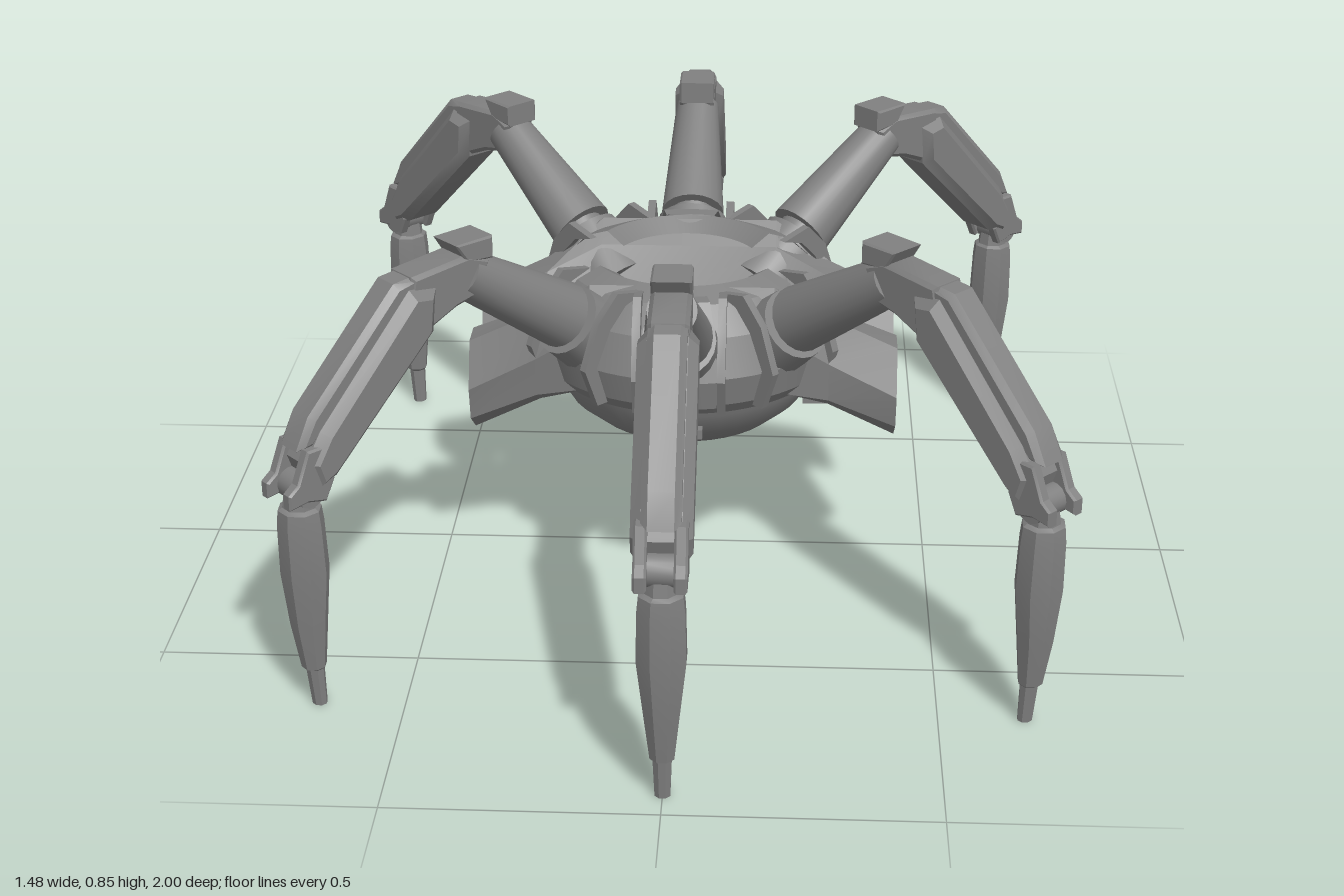
import * as THREE from 'three';
import { toCreasedNormals } from 'three/addons/utils/BufferGeometryUtils.js';

const grey = new THREE.MeshStandardMaterial({ color: 0x808080, side: THREE.DoubleSide });
grey.name = 'gunmetal grey';

function part(name, geometry, crease = 0.5) {
  const flat = geometry.index ? geometry.toNonIndexed() : geometry;
  const mesh = new THREE.Mesh(toCreasedNormals(flat, crease), grey);
  mesh.name = name;
  return mesh;
}

// Skin over a list of equal-sized point rings, with fan caps
function loft(rings) {
  const n = rings[0].length, pos = [];
  const tri = (...p) => p.forEach((v) => pos.push(...v));
  for (let i = 0; i + 1 < rings.length; i++) {
    for (let j = 0; j < n; j++) {
      const k = (j + 1) % n, a = rings[i], b = rings[i + 1];
      tri(a[j], b[j], a[k]);
      tri(b[j], b[k], a[k]);
    }
  }
  const cap = (r, flip) => {
    const c = [0, 1, 2].map((d) => r.reduce((s, p) => s + p[d], 0) / n);
    for (let j = 0; j < n; j++) {
      const k = (j + 1) % n;
      if (flip) tri(c, r[k], r[j]); else tri(c, r[j], r[k]);
    }
  };
  cap(rings[0], false);
  cap(rings[rings.length - 1], true);
  const g = new THREE.BufferGeometry();
  g.setAttribute('position', new THREE.Float32BufferAttribute(pos, 3));
  g.computeVertexNormals();
  return g;
}

// Side outline in (outward, up) extruded across the leg's width
function slab(outline, width, bevel = 0.008, offset = 0) {
  const shape = new THREE.Shape(outline.map(([r, y]) => new THREE.Vector2(r, y)));
  const depth = width - 2 * bevel;
  const g = new THREE.ExtrudeGeometry(shape, {
    depth, bevelEnabled: bevel > 0, bevelSize: bevel, bevelOffset: -bevel,
    bevelThickness: bevel, bevelSegments: 1,
  });
  g.translate(0, 0, -depth / 2);
  g.rotateY(-Math.PI / 2);
  g.translate(offset, 0, 0);
  return g;
}

// Tapered cylinder between two (outward, up) points
function rod([r0, y0], [r1, y1], radius0, radius1, sides = 20) {
  const g = new THREE.CylinderGeometry(radius1, radius0, Math.hypot(r1 - r0, y1 - y0), sides);
  g.rotateX(Math.atan2(r1 - r0, y1 - y0));
  g.translate(0, (y0 + y1) / 2, (r0 + r1) / 2);
  return g;
}

function lathe(profile, start = 0, length = Math.PI * 2, segments = 40) {
  return new THREE.LatheGeometry(profile.map(([r, y]) => new THREE.Vector2(r, y)), segments, start, length);
}

function createLeg(angle) {
  const leg = new THREE.Group();
  leg.name = 'leg';
  // Hip: socket, neck and curved guard ridges
  leg.add(part('hipSocket', rod([0.21, 0.52], [0.315, 0.605], 0.085, 0.072)));
  leg.add(part('hipNeck', rod([0.29, 0.585], [0.35, 0.635], 0.048, 0.048)));
  for (const s of [-1, 1]) {
    leg.add(part('hipGuard', slab([
      [0.19, 0.655], [0.26, 0.67], [0.31, 0.62], [0.345, 0.53], [0.315, 0.45],
      [0.29, 0.45], [0.315, 0.53], [0.28, 0.6], [0.24, 0.64],
    ], 0.016, 0, s * 0.082)));
  }
  // Upper limb and knee
  leg.add(part('upperLimb', rod([0.325, 0.618], [0.565, 0.775], 0.066, 0.046)));
  leg.add(part('knee', slab([
    [0.52, 0.8], [0.57, 0.82], [0.7, 0.81], [0.71, 0.76], [0.66, 0.7], [0.6, 0.725], [0.55, 0.735],
  ], 0.075)));
  leg.add(part('kneeCap', slab([[0.515, 0.8], [0.515, 0.845], [0.6, 0.845], [0.575, 0.805]], 0.074, 0.004)));
  // Lower limb with raised outer plate
  leg.add(part('lowerLimb', slab([
    [0.65, 0.78], [0.71, 0.79], [0.92, 0.575], [0.955, 0.52], [0.935, 0.46], [0.89, 0.48], [0.66, 0.695],
  ], 0.108, 0.018)));
  leg.add(part('outerPlate', slab([
    [0.675, 0.81], [0.735, 0.805], [0.935, 0.605], [0.965, 0.545], [0.93, 0.545], [0.7, 0.765],
  ], 0.07, 0.012)));
  // Ankle hinge and fork
  const pin = new THREE.CylinderGeometry(0.03, 0.03, 0.085, 14);
  pin.rotateZ(Math.PI / 2);
  pin.translate(0, 0.465, 0.95);
  leg.add(part('anklePin', pin));
  for (const s of [-1, 1]) {
    leg.add(part('ankleFork', slab([
      [0.92, 0.55], [0.955, 0.55], [0.98, 0.49], [1.0, 0.475], [1.0, 0.445], [0.96, 0.45], [0.92, 0.44], [0.9, 0.48],
    ], 0.024, 0.004, s * 0.035)));
  }
  // Foot: octagonal rings of [height, outward, half width, half depth]
  const foot = [
    [0.45, 0.95, 0.028, 0.026], [0.425, 0.95, 0.03, 0.03], [0.42, 0.951, 0.039, 0.037],
    [0.39, 0.951, 0.042, 0.04], [0.29, 0.949, 0.044, 0.042], [0.18, 0.948, 0.032, 0.033],
    [0.085, 0.944, 0.022, 0.022], [0.08, 0.942, 0.017, 0.016], [0, 0.937, 0.014, 0.013],
  ].map(([y, r, w, d]) => Array.from({ length: 8 }, (_, i) => {
    const a = (i + 0.5) * Math.PI / 4;
    return [w * Math.cos(a) * 1.08, y, r + d * Math.sin(a) * 1.08];
  }));
  leg.add(part('foot', loft(foot), 0.4));
  leg.rotation.y = angle;
  return leg;
}

// One half of the upper body, facing +z
function createHalf() {
  const half = new THREE.Group();
  half.name = 'bodyHalf';
  // Roof with drooping wings, lofted across x from (z, y) sections
  const tip = [[0.05, 0.46], [0.08, 0.52], [0.145, 0.52], [0.185, 0.43], [0.17, 0.36], [0.1, 0.31]];
  const root = [[0.05, 0.51], [0.085, 0.575], [0.15, 0.585], [0.185, 0.5], [0.18, 0.42], [0.1, 0.375]];
  const middle = [[0.065, 0.48], [0.13, 0.62], [0.18, 0.66], [0.22, 0.58], [0.21, 0.45], [0.1, 0.4]];
  const stations = [[-0.425, tip], [-0.29, root], [-0.18, middle], [0.18, middle], [0.29, root], [0.425, tip]];
  half.add(part('roofAndWings', loft(stations.map(([x, s]) => s.map(([z, y]) => [x, y, z]))), 0.3));
  // Curved outer shell around the hips
  const span = 1.06;
  half.add(part('outerShell', lathe([
    [0.24, 0.44], [0.285, 0.435], [0.305, 0.46], [0.318, 0.52], [0.29, 0.595], [0.24, 0.645], [0.19, 0.665], [0.15, 0.64],
  ], -span, span * 2, 28), 0.35));
  // Raised front panel
  half.add(part('frontPanel', lathe([
    [0.3, 0.455], [0.318, 0.46], [0.33, 0.52], [0.302, 0.6], [0.25, 0.655], [0.22, 0.655],
  ], -0.23, 0.46, 8), 0.35));
  // Small sensor cross beneath the shell
  const boxes = [[0.03, 0.07, 0.025, 0.395, 0.285], [0.09, 0.02, 0.02, 0.4, 0.295], [0.02, 0.02, 0.07, 0.405, 0.28]];
  for (const [w, h, d, y, z] of boxes) {
    const g = new THREE.BoxGeometry(w, h, d);
    g.translate(0, y, z);
    half.add(part('sensor', g));
  }
  return half;
}

export function createModel() {
  const model = new THREE.Group();
  model.name = 'sixLeggedRobot';
  // Rounded belly with recessed base disc
  model.add(part('belly', lathe([
    [0, 0.32], [0.115, 0.32], [0.125, 0.31], [0.19, 0.328], [0.24, 0.37], [0.27, 0.42], [0.28, 0.46], [0.26, 0.475], [0, 0.48],
  ]), 0.45));
  // Bridge on one side between the wings
  const bridge = new THREE.BoxGeometry(0.145, 0.12, 0.14);
  bridge.translate(0.3125, 0.42, 0);
  model.add(part('sideBridge', bridge));
  for (const turn of [0, Math.PI]) {
    const half = createHalf();
    half.rotation.y = turn;
    model.add(half);
    for (const a of [-1, 0, 1]) model.add(createLeg(turn + a * Math.PI / 4));
  }
  return model;
}
